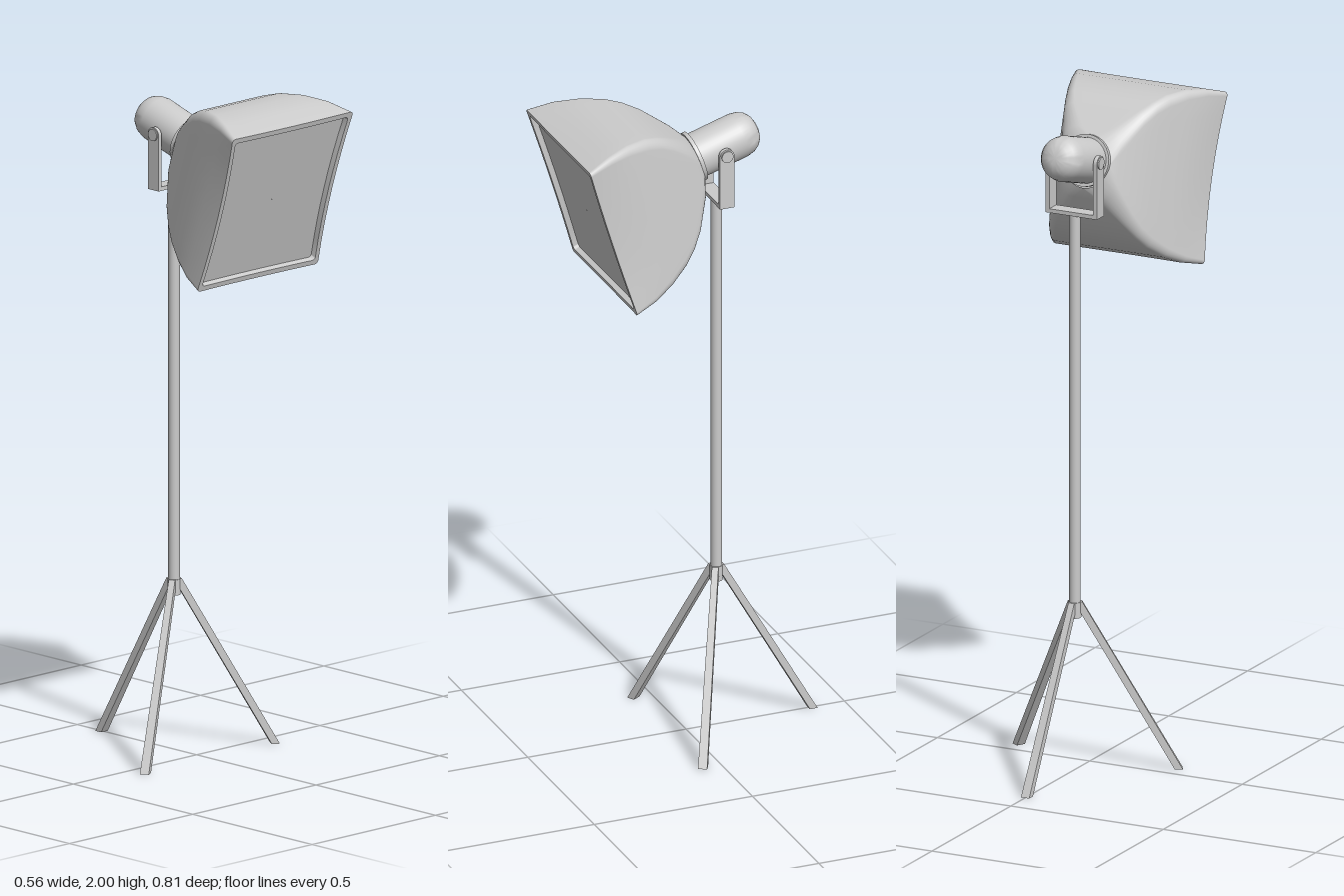
import * as THREE from 'three';
import { toCreasedNormals } from 'three/addons/utils/BufferGeometryUtils.js';

const POLE_Z = -0.095, PIVOT_Y = 1.86, TILT = 0.3;
const grey = new THREE.MeshStandardMaterial({ color: 0xcccccc });
const cloth = new THREE.MeshStandardMaterial({ color: 0xcccccc, side: THREE.DoubleSide });

function add(parent, name, geometry, material = grey, x = 0, y = 0, z = 0) {
  const mesh = new THREE.Mesh(geometry, material);
  mesh.name = name;
  mesh.position.set(x, y, z);
  parent.add(mesh);
  return mesh;
}

// Rounded rectangle, counter-clockwise, from half sizes; "round" is the corner
// radius as a share of the half size, "pinch" draws the upright sides inwards.
function section(z, halfX, halfY, round, pinch = 0) {
  const flat = 1 - round, points = [];
  for (let q = 0; q < 4; q++) {
    const c = Math.round(Math.cos(q * Math.PI / 2)), s = Math.round(Math.sin(q * Math.PI / 2));
    const push = (u, v) => {
      const x = u * c - v * s, y = u * s + v * c;
      points.push(new THREE.Vector3(
        halfX * x * (1 - pinch * (1 - y * y)),
        halfY * y * (1 - pinch * 0.15 * (1 - x * x)), z));
    };
    for (let i = 0; i < 8; i++) push(1, -flat + 2 * flat * i / 8);
    for (let i = 0; i < 6; i++) {
      const a = (i / 6) * Math.PI / 2;
      push(flat + round * Math.cos(a), flat + round * Math.sin(a));
    }
  }
  return points;
}

// Skin over a row of closed sections
function loft(rings) {
  const n = rings[0].length, index = [];
  for (let i = 0; i < rings.length - 1; i++) {
    for (let j = 0; j < n; j++) {
      const a = i * n + j, b = i * n + (j + 1) % n;
      index.push(a, b, a + n, b, b + n, a + n);
    }
  }
  const geometry = new THREE.BufferGeometry().setFromPoints(rings.flat());
  geometry.setIndex(index);
  geometry.computeVertexNormals();
  return geometry;
}

function lathe(profile) {
  const points = profile.map(([r, y]) => new THREE.Vector2(r, y));
  const geometry = new THREE.LatheGeometry(points, 40).rotateX(Math.PI / 2);
  return toCreasedNormals(geometry, 0.6);
}

function buildLamp() {
  const lamp = new THREE.Group();
  lamp.name = 'lampHead';
  lamp.position.set(0, PIVOT_Y, POLE_Z);
  lamp.rotation.x = TILT;

  // Fabric hood: nearly straight sides, strongly bowed top and bottom
  const hood = [
    [0.078, 0.074, 0.074, 1], [0.1, 0.097, 0.103, 0.5], [0.156, 0.133, 0.166, 0.22],
    [0.195, 0.152, 0.199, 0.16], [0.236, 0.17, 0.224, 0.14], [0.3, 0.195, 0.246, 0.11],
    [0.37, 0.222, 0.256, 0.08, 0.02], [0.4465, 0.245, 0.254, 0.05, 0.06],
  ];
  add(lamp, 'softboxHood', loft(hood.map(h => section(...h))), cloth, 0, -0.007, 0);

  // Mouth lip with the recessed diffuser panel
  const mouth = (z, inset) => section(z, 0.245 - inset, 0.254 - inset, 0.05, 0.06);
  const lip = loft([mouth(0.4465, 0), mouth(0.4465, 0.016), mouth(0.43, 0.018)]);
  add(lamp, 'mouthLip', toCreasedNormals(lip, 0.6), cloth, 0, -0.007, 0);
  const panel = loft([mouth(0.43, 0.018), section(0.43, 0.001, 0.001, 0.05)]);
  add(lamp, 'diffuserPanel', panel, cloth, 0, -0.007, 0);

  // Lamp housing with domed back, and the thin collar where the hood starts
  add(lamp, 'lampHousing', lathe([
    [0, -0.132], [0.02, -0.131], [0.038, -0.125], [0.053, -0.113], [0.063, -0.096],
    [0.068, -0.072], [0.068, 0.085], [0, 0.085],
  ]));
  add(lamp, 'housingCollar', lathe([
    [0.066, 0.068], [0.077, 0.068], [0.077, 0.08], [0.066, 0.08],
  ]));
  return lamp;
}

function buildYoke() {
  const yoke = new THREE.Group();
  yoke.name = 'yoke';
  yoke.position.z = POLE_Z;
  add(yoke, 'yokeBase', new THREE.BoxGeometry(0.168, 0.012, 0.045), grey, 0, 1.7, 0);

  // Round-topped side plates with pivot knobs
  const plate = new THREE.Shape();
  plate.moveTo(-0.0225, 1.694);
  plate.lineTo(0.0225, 1.694);
  plate.lineTo(0.0225, PIVOT_Y);
  plate.absarc(0, PIVOT_Y, 0.0225, 0, Math.PI, false);
  plate.closePath();
  const plateGeometry = new THREE.ExtrudeGeometry(plate, { depth: 0.012, bevelEnabled: false, curveSegments: 16 });
  plateGeometry.translate(0, 0, -0.006).rotateY(Math.PI / 2);
  for (const [side, sign] of [['left', 1], ['right', -1]]) {
    add(yoke, side + 'YokeArm', plateGeometry, grey, sign * 0.078, 0, 0);
    const pivot = new THREE.CylinderGeometry(0.01, 0.01, 0.03, 20).rotateZ(Math.PI / 2);
    add(yoke, side + 'PivotBolt', pivot, grey, sign * 0.071, PIVOT_Y, 0);
    const knob = new THREE.CylinderGeometry(0.018, 0.018, 0.01, 24).rotateZ(Math.PI / 2);
    add(yoke, side + 'PivotKnob', knob, grey, sign * 0.083, PIVOT_Y, 0);
  }
  return yoke;
}

function buildStand() {
  const stand = new THREE.Group();
  stand.name = 'stand';
  stand.position.z = POLE_Z;
  add(stand, 'pole', new THREE.CylinderGeometry(0.017, 0.017, 1.23, 24), grey, 0, 1.085, 0);
  add(stand, 'legHub', new THREE.CylinderGeometry(0.019, 0.019, 0.047, 24), grey, 0, 0.489, 0);

  // Three splayed legs, cut level at the floor and widening downwards
  const leg = new THREE.BoxGeometry(1, 0.515, 0.024);
  const p = leg.attributes.position;
  for (let i = 0; i < p.count; i++) {
    const low = p.getY(i) < 0;
    p.setX(i, p.getX(i) * (low ? 0.027 : 0.019));
    p.setZ(i, p.getZ(i) + (low ? 0.303 : 0.01));
    p.setY(i, low ? 0 : 0.513);
  }
  leg.computeVertexNormals();
  ['leftLeg', 'backLeg', 'rightLeg'].forEach((name, i) => {
    add(stand, name, leg).rotation.y = Math.PI / 3 + i * Math.PI * 2 / 3;
  });
  return stand;
}

export function createModel() {
  const model = new THREE.Group();
  model.name = 'studioLight';
  model.add(buildStand(), buildYoke(), buildLamp());
  return model;
}
